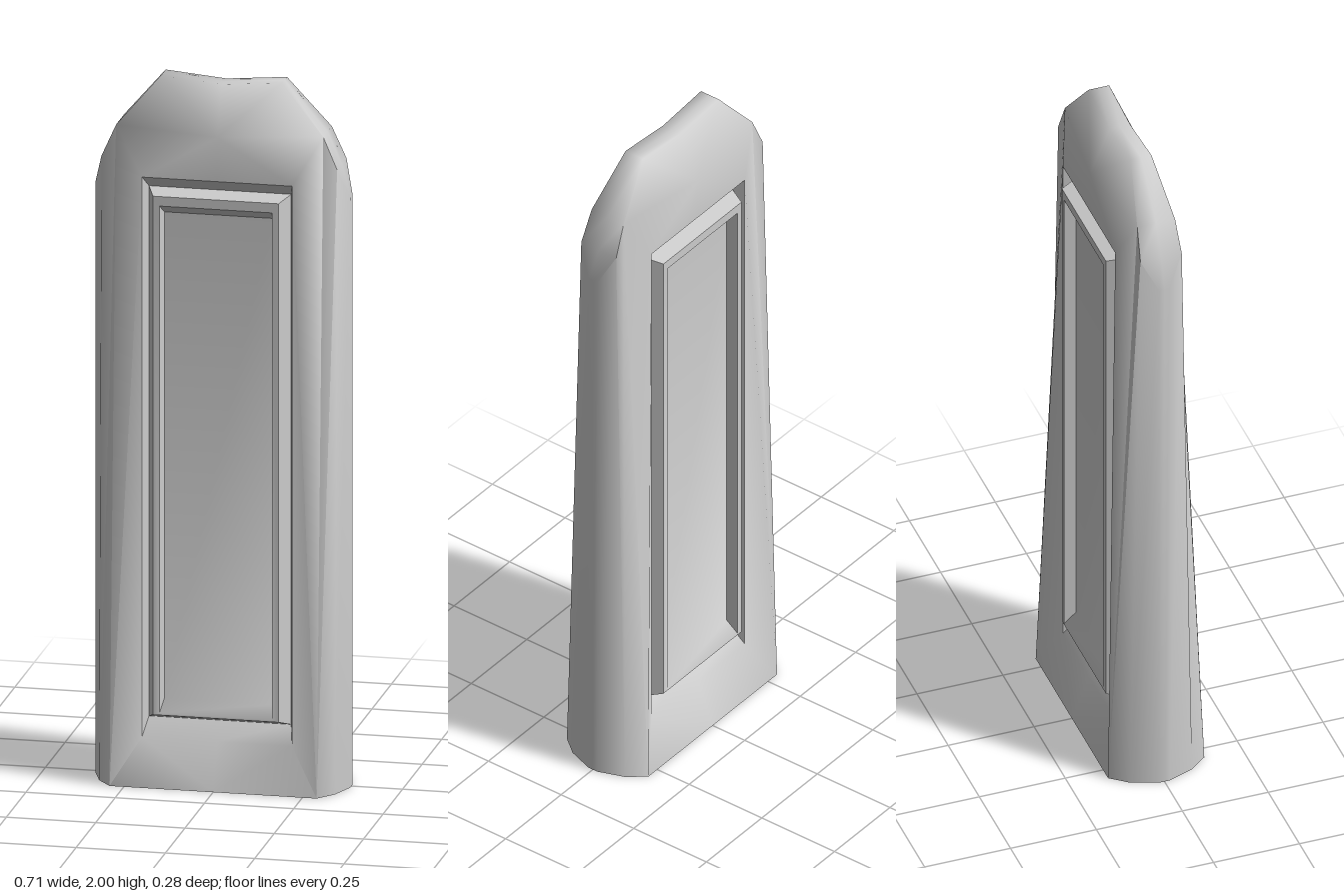
import * as THREE from 'three';
import { toCreasedNormals } from 'three/addons/utils/BufferGeometryUtils.js';

const grey = new THREE.MeshStandardMaterial({ color: 0xcccccc });

// Corners of one quarter of the slab (+x, +z); a trailing m marks the z = 0 midline.
const P = {
  A0: [0.357, 0, 0.015], A1: [0.357, 1.68, 0.015], A0m: [0.357, 0, 0], A1m: [0.357, 1.68, 0],
  B0: [0.33, 0, 0.09], B1: [0.33, 1.77, 0.06], B1m: [0.33, 1.77, 0],
  C0: [0.29, 0, 0.14], C1: [0.29, 1.86, 0.055], C1m: [0.29, 1.86, 0],
  D0: [0.21, 0.13, 0.09], D1: [0.21, 1.725, 0.09],
  E0: [0, 0, 0.14], F0: [0, 0.13, 0.09], F1: [0, 1.725, 0.09],
  G: [0.199, 0.18, 0.05], H: [0, 0.18, 0.05],
  T: [0, 1.85, 0.088], U: [0.17, 2, 0.03], V: [0, 1.985, 0.03],
  Um: [0.17, 2, 0], Vm: [0, 1.985, 0], O: [0, 0, 0],
};

const faces = [
  // rounded side
  'A0 A0m A1m A1', 'B0 A0 A1 B1', 'C0 B0 B1 C1',
  // face beside the panel, and the skirt running up into the groove
  'C0 C1 D1', 'C0 D1 D0', 'E0 C0 D0', 'E0 D0 F0', 'F0 D0 G H',
  // sloping shoulder and notched crown
  'F1 D1 T', 'D1 C1 T', 'C1 U T', 'T U V',
  'A1 A1m B1m B1', 'B1 B1m C1m C1', 'C1 C1m Um U', 'U Um Vm V',
  // base
  'O A0m A0', 'O A0 B0', 'O B0 C0', 'O C0 E0',
];

function addFace(out, corners) {
  for (let i = 1; i < corners.length - 1; i++) {
    out.push(...corners[0], ...corners[i], ...corners[i + 1]);
  }
}

function makeMesh(name, positions, crease) {
  const geometry = new THREE.BufferGeometry();
  geometry.setAttribute('position', new THREE.Float32BufferAttribute(positions, 3));
  const mesh = new THREE.Mesh(toCreasedNormals(geometry, crease), grey);
  mesh.name = name;
  return mesh;
}

// Slab: the quarter mirrored across x and z
function slab() {
  const out = [];
  for (const sx of [1, -1]) {
    for (const sz of [1, -1]) {
      for (const face of faces) {
        const corners = face.split(' ').map((k) => [P[k][0] * sx, P[k][1], P[k][2] * sz]);
        if (sx * sz < 0) corners.reverse();
        addFace(out, corners);
      }
    }
  }
  return makeMesh('slab', out, 1.42);
}

// Nested rectangles: half width, bottom y, top y, z
const steps = [
  [0.21, 0.13, 1.725, 0.09], // opening
  [0.199, 0.18, 1.69, 0.05], // groove
  [0.176, 0.2, 1.677, 0.105], // frame, outer edge
  [0.158, 0.205, 1.65, 0.105], // frame, inner edge
  [0.151, 0.24, 1.625, 0.073], // sunken panel
];

function panel(name) {
  const out = [];
  const loops = steps.map(([x, yb, yt, z]) => [[-x, yb, z], [x, yb, z], [x, yt, z], [-x, yt, z]]);
  for (let i = 0; i < loops.length - 1; i++) {
    // the slab's skirt already closes the bottom of the opening
    for (let j = i === 0 ? 1 : 0; j < 4; j++) {
      const k = (j + 1) % 4;
      addFace(out, [loops[i][j], loops[i][k], loops[i + 1][k], loops[i + 1][j]]);
    }
  }
  addFace(out, loops[loops.length - 1]);
  return makeMesh(name, out, 0.85);
}

export function createModel() {
  const model = new THREE.Group();
  model.name = 'stoneMarker';
  const back = panel('backPanel');
  back.rotation.y = Math.PI;
  model.add(slab(), panel('frontPanel'), back);
  return model;
}
